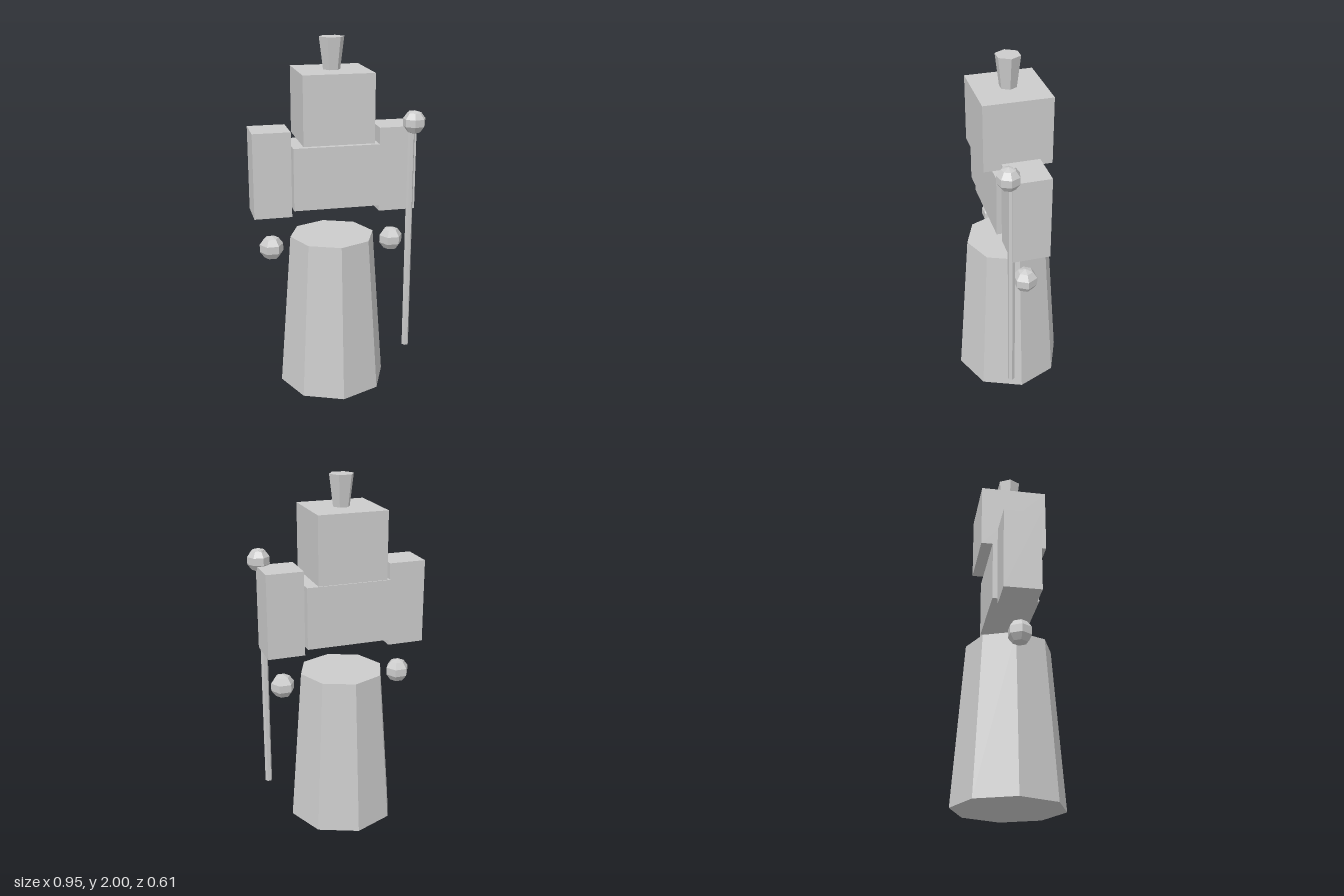
import * as THREE from 'three';

export function createModel() {
  const model = new THREE.Group();
  const material = new THREE.MeshStandardMaterial({ color: 0xcccccc, flatShading: true });
  const axis = -0.023; // body axis; the staff makes the figure wider on its left

  function add(name, geometry, x, y, z = 0, turn = 0) {
    const mesh = new THREE.Mesh(geometry, material);
    mesh.name = name;
    mesh.position.set(x, y, z);
    mesh.rotation.y = turn;
    model.add(mesh);
    return mesh;
  }

  // Eight-sided tapered robe
  add('robe', new THREE.CylinderGeometry(0.24, 0.307, 0.897, 8), axis, 0.4485);

  // Torso and head blocks
  add('torso', new THREE.BoxGeometry(0.474, 0.346, 0.258), axis, 1.262);
  add('head', new THREE.BoxGeometry(0.386, 0.372, 0.373), axis, 1.642, -0.002);

  // Six-sided topknot flaring upwards
  add('topknot', new THREE.CylinderGeometry(0.069, 0.047, 0.172, 6), axis, 1.914, 0, Math.PI / 6);

  // Sleeves and floating hands on both sides
  for (const [side, sign] of [['left', 1], ['right', -1]]) {
    const x = axis + sign * 0.348;
    add(side + 'Sleeve', new THREE.BoxGeometry(0.207, 0.471, 0.206), x, 1.284);
    add(side + 'Hand', new THREE.SphereGeometry(0.07, 6, 5), x, 0.842);
  }

  // Staff with a faceted orb
  add('staff', new THREE.CylinderGeometry(0.02, 0.02, 1.402, 6), 0.399, 0.901, 0.1, Math.PI / 6);
  add('orb', new THREE.SphereGeometry(0.065, 7, 5), 0.409, 1.545, 0.118, Math.PI);

  return model;
}
